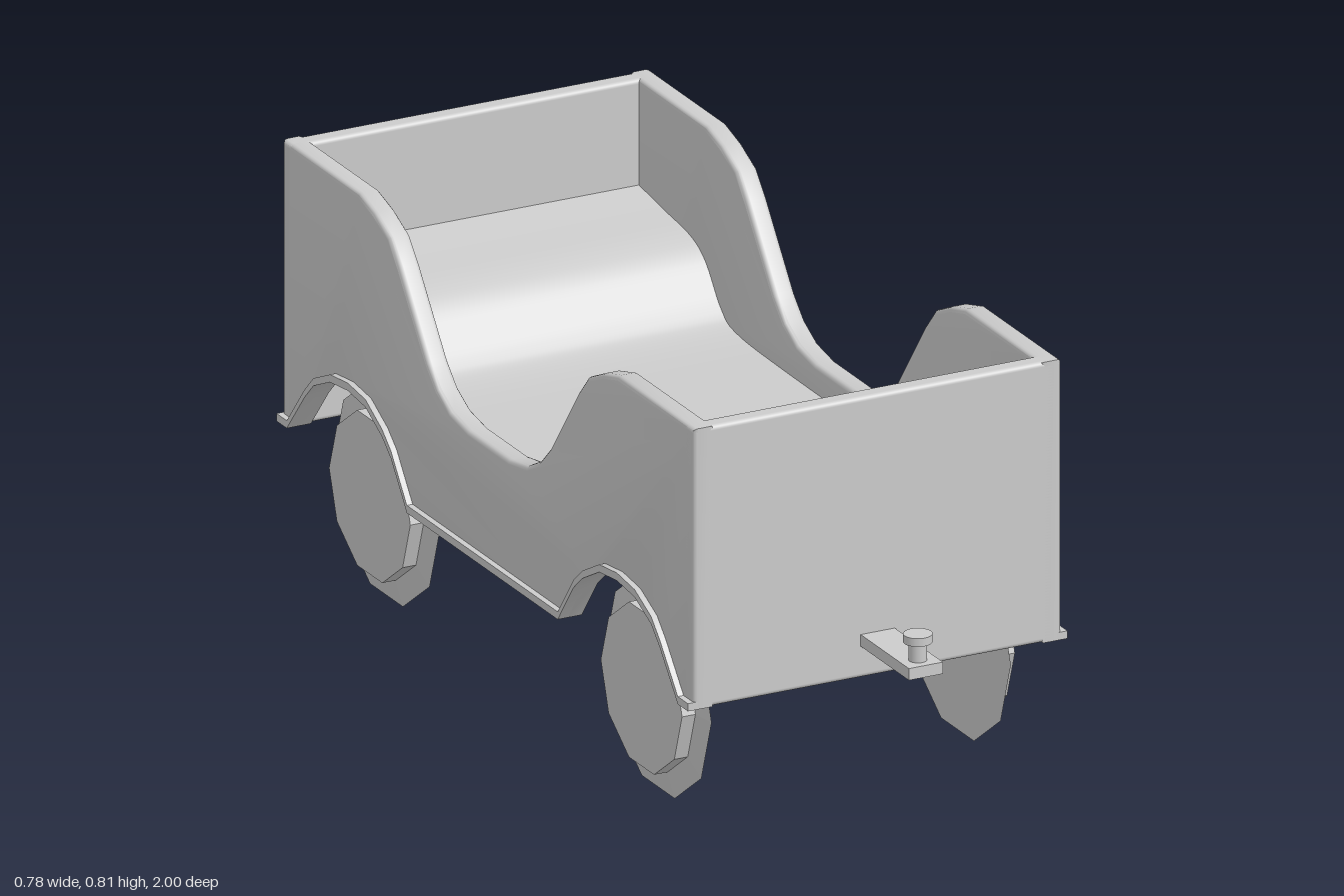
import * as THREE from 'three';
import { toCreasedNormals } from 'three/addons/utils/BufferGeometryUtils.js';
import { RoundedBoxGeometry } from 'three/addons/geometries/RoundedBoxGeometry.js';

const grey = new THREE.MeshStandardMaterial({ color: 0xcccccc, side: THREE.DoubleSide });
const flat = new THREE.MeshStandardMaterial({ color: 0xcccccc, flatShading: true });

function add(parent, name, geometry, x = 0, y = 0, z = 0, material = grey) {
  const mesh = new THREE.Mesh(geometry, material);
  mesh.name = name;
  mesh.position.set(x, y, z);
  parent.add(mesh);
  return mesh;
}

// Completes a half outline (end to middle) with its mirror in z
const mirrored = (half) => [...half, ...half.map(([z, y]) => [-z, y]).reverse()];

// Extrudes a (z, y) outline across x, centred on x = 0
function sideProfile(points, width, bevel = 0) {
  const shape = new THREE.Shape(points.map(([z, y]) => new THREE.Vector2(z, y)));
  const geometry = new THREE.ExtrudeGeometry(shape, {
    depth: width - 2 * bevel, bevelEnabled: bevel > 0, bevelThickness: bevel,
    bevelSize: bevel, bevelOffset: -bevel, bevelSegments: 3,
  });
  geometry.translate(0, 0, bevel - width / 2);
  geometry.rotateY(-Math.PI / 2);
  return toCreasedNormals(geometry, 0.6);
}

export function createModel() {
  const group = new THREE.Group();
  group.name = 'wagon';

  // Lower edge with wheel arches, and the dipped upper rim
  const lower = mirrored([
    [0.81, 0.26], [0.77, 0.26], [0.7, 0.345], [0.665, 0.38], [0.6, 0.41], [0.53, 0.418],
    [0.46, 0.41], [0.395, 0.375], [0.36, 0.345], [0.297, 0.26],
  ]);
  const rim = mirrored([
    [0.81, 0.81], [0.51, 0.81], [0.45, 0.793], [0.39, 0.765], [0.35, 0.72], [0.24, 0.572],
    [0.2, 0.533], [0.15, 0.507], [0.08, 0.495],
  ]);
  const wallOutline = [...lower, ...rim.slice().reverse()];
  const flangeOutline = [...lower, ...lower.map(([z, y]) => [z, y + 0.015]).reverse()];

  for (const side of [1, -1]) {
    const label = side > 0 ? 'left' : 'right';
    add(group, `${label}Wall`, sideProfile(wallOutline, 0.043, 0.009), side * 0.3565);
    add(group, `${label}ArchFlange`, sideProfile(flangeOutline, 0.05), side * 0.365);
  }

  // Front and rear walls
  for (const end of [1, -1]) {
    add(group, end > 0 ? 'frontWall' : 'rearWall',
      new RoundedBoxGeometry(0.756, 0.55, 0.038, 3, 0.009), 0, 0.535, end * 0.791);
  }

  // Tub floor, rising to a seat at each end
  const seatCurve = new THREE.SplineCurve(mirrored([
    [0.785, 0.605], [0.68, 0.59], [0.57, 0.575], [0.51, 0.545], [0.45, 0.475], [0.39, 0.447], [0.2, 0.44],
  ]).map(([z, y]) => new THREE.Vector2(z, y)));
  const seatTop = seatCurve.getPoints(60).map((p) => [p.x, p.y]);
  const seatBottom = seatTop.map(([z, y]) => [z, y - 0.014]).reverse();
  add(group, 'seatFloor', sideProfile([...seatTop, ...seatBottom], 0.68));

  // Ten-sided wheels: a thin disc with a raised hub
  const disc = new THREE.CylinderGeometry(0.16, 0.21, 0.007, 10).rotateZ(-Math.PI / 2);
  const hub = new THREE.CylinderGeometry(0.16, 0.16, 0.032, 10).rotateZ(-Math.PI / 2);
  for (const side of [1, -1]) {
    for (const end of [1, -1]) {
      const wheel = new THREE.Group();
      wheel.name = `${end > 0 ? 'front' : 'rear'}${side > 0 ? 'Left' : 'Right'}Wheel`;
      add(wheel, 'disc', disc, 0.311, 0, 0, flat);
      add(wheel, 'hub', hub, 0.326, 0, 0, flat);
      wheel.position.set(0, 0.2, end * 0.535);
      if (side < 0) wheel.rotation.y = Math.PI;
      group.add(wheel);
    }
  }

  // Front coupling: bar with a headed pin
  add(group, 'frontHitchBar', new THREE.BoxGeometry(0.07, 0.023, 0.2), 0, 0.334, 0.9);
  add(group, 'hitchPin', new THREE.CylinderGeometry(0.017, 0.017, 0.042, 20), 0, 0.363, 0.968);
  add(group, 'hitchPinHead', new THREE.CylinderGeometry(0.027, 0.027, 0.016, 20), 0, 0.389, 0.968);

  // Rear coupling: bar with a hole for the pin
  const bar = new THREE.Shape([[-0.035, -1], [0.035, -1], [0.035, -0.8], [-0.035, -0.8]]
    .map(([x, z]) => new THREE.Vector2(x, z)));
  bar.holes.push(new THREE.Path().absarc(0, -0.97, 0.022, 0, Math.PI * 2, true));
  const barGeometry = new THREE.ExtrudeGeometry(bar, { depth: 0.022, bevelEnabled: false, curveSegments: 20 });
  barGeometry.rotateX(Math.PI / 2);
  add(group, 'rearHitchBar', barGeometry, 0, 0.372, 0);

  return group;
}
